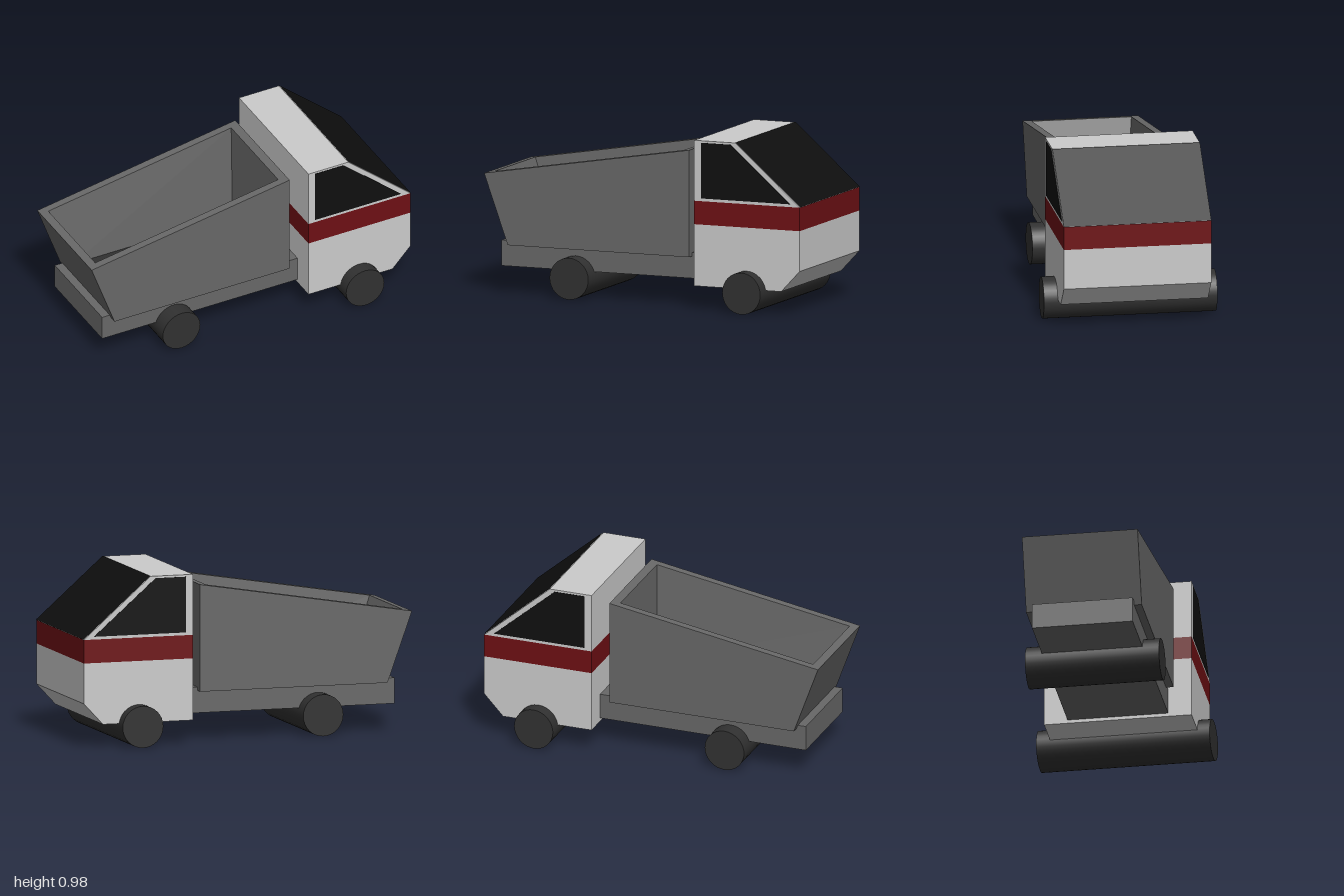
import * as THREE from 'three';

const PAINT = 0xcccccc, GREY = 0x686868, RED = 0x6e1014, GLASS = 0x0f0f0f, RUBBER = 0x313131;

function part(name, geometry, color) {
  const mesh = new THREE.Mesh(geometry, new THREE.MeshStandardMaterial({ color }));
  mesh.name = name;
  return mesh;
}

// Side profile in x/y, extruded across the width and centred on z = 0
function slab(points, halfWidth) {
  const shape = new THREE.Shape(points.map(([x, y]) => new THREE.Vector2(x, y)));
  const g = new THREE.ExtrudeGeometry(shape, { depth: halfWidth * 2, bevelEnabled: false });
  return g.translate(0, 0, -halfWidth);
}

function box(x0, x1, y0, y1, halfWidth) {
  return slab([[x0, y0], [x1, y0], [x1, y1], [x0, y1]], halfWidth);
}

// Four corners, counter-clockwise from above
function ring(xBack, yBack, xFront, yFront, hz) {
  return [[xFront, yFront, hz], [xFront, yFront, -hz], [xBack, yBack, -hz], [xBack, yBack, hz]];
}

function quads(list) {
  const pos = [];
  for (const [a, b, c, d] of list) pos.push(...a, ...b, ...c, ...a, ...c, ...d);
  const g = new THREE.BufferGeometry();
  g.setAttribute('position', new THREE.Float32BufferAttribute(pos, 3));
  g.computeVertexNormals();
  return g;
}

export function createModel() {
  const model = new THREE.Group();
  model.name = 'tipperTruck';

  // Cab, stacked as lower body, stripe and roof section
  const cab = new THREE.Group();
  cab.name = 'cab';
  const W = 0.425;
  cab.add(
    part('cabLower', slab([[0.345, 0.137], [0.885, 0.137], [1, 0.26], [1, 0.492], [0.345, 0.492]], W), PAINT),
    part('cabStripe', box(0.345, 1, 0.492, 0.627, W), RED),
    part('cabUpper', slab([[0.345, 0.627], [1, 0.627], [0.6, 0.975], [0.345, 0.975]], W), PAINT));

  // Windscreen over the whole sloping face
  const o = 0.002;
  cab.add(part('windscreen', quads([[
    [1 + o, 0.627 + o, W], [1 + o, 0.627 + o, -W], [0.6 + o, 0.975 + o, -W], [0.6 + o, 0.975 + o, W],
  ]]), GLASS));

  // Side windows
  const pane = [[0.387, 0.643], [0.94, 0.643], [0.57, 0.963], [0.387, 0.963]];
  for (const s of [1, -1]) {
    const glass = part(s > 0 ? 'windowFrontSide' : 'windowBackSide', slab(pane, 0.002), GLASS);
    glass.position.z = s * W;
    cab.add(glass);
  }
  model.add(cab);

  model.add(part('chassis', box(-0.91, 0.345, 0.157, 0.305, 0.29), GREY));

  // Hollow tipping bed: outer walls, rim and inner walls between rings
  const rings = [
    ring(-0.853, 0.284, 0.272, 0.284, 0.333),
    ring(-1, 0.69, 0.272, 0.9, 0.333),
    ring(-0.953, 0.698, 0.222, 0.892, 0.287),
    ring(-0.815, 0.315, 0.205, 0.315, 0.24),
  ];
  const walls = [[...rings[0]].reverse()];
  for (let r = 0; r < 3; r++) {
    for (let i = 0; i < 4; i++) {
      const j = (i + 1) % 4;
      walls.push([rings[r][i], rings[r][j], rings[r + 1][j], rings[r + 1][i]]);
    }
  }
  const bed = new THREE.Group();
  bed.name = 'tippingBed';
  bed.add(part('bedWalls', quads(walls), GREY), part('bedFloor', quads([rings[3]]), RUBBER));
  model.add(bed);

  // Full-width wheel rollers
  for (const [name, x, length] of [['frontWheels', 0.67, 1.0], ['rearWheels', -0.45, 0.772]]) {
    const g = new THREE.CylinderGeometry(0.12, 0.12, length, 32).rotateX(Math.PI / 2);
    const wheel = part(name, g, RUBBER);
    wheel.position.set(x, 0.122, 0);
    model.add(wheel);
  }
  // The front caps sit slightly askew
  const p = model.getObjectByName('frontWheels').geometry.attributes.position;
  for (let i = 0; i < p.count; i++) p.setZ(i, p.getZ(i) + 0.04 * p.getX(i));

  return model;
}
